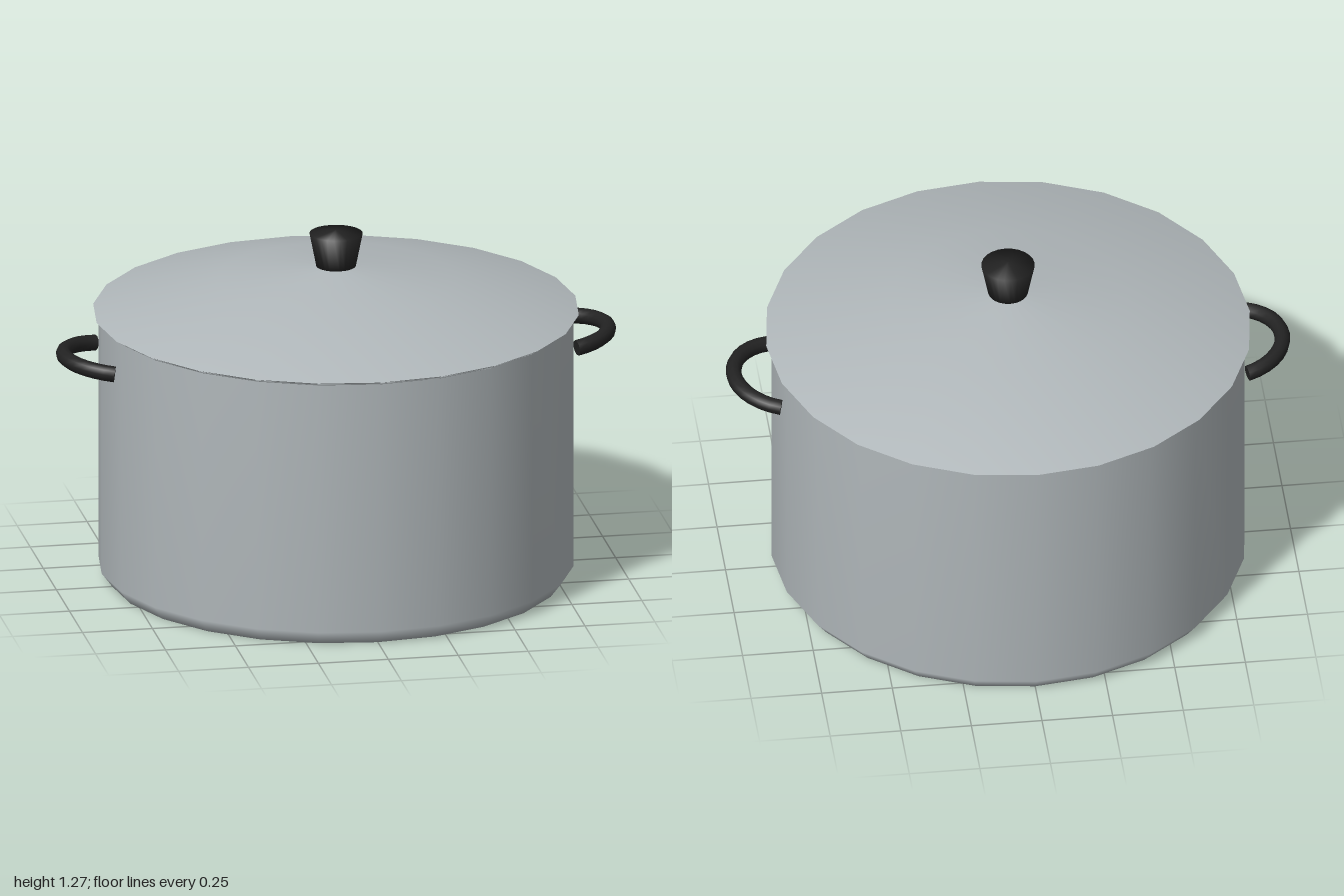
import * as THREE from 'three';
import { mergeGeometries } from 'three/addons/utils/BufferGeometryUtils.js';

const steel = new THREE.MeshStandardMaterial({ color: 0xb0b7ba });
steel.name = 'brushed steel';
const black = new THREE.MeshStandardMaterial({ color: 0x222222 });
black.name = 'black plastic';

// Turned part from a list of [radius, height] points, bottom to top
function turned(name, points, material, sides = 24) {
  const profile = points.map(([r, y]) => new THREE.Vector2(r, y));
  const mesh = new THREE.Mesh(new THREE.LatheGeometry(profile, sides), material);
  mesh.name = name;
  return mesh;
}

// Bowed grip: a ring segment with capped ends, bulging towards +x
function handleGeometry(radius, thickness, halfAngle) {
  const ring = new THREE.TorusGeometry(radius, thickness, 10, 14, halfAngle * 2).rotateZ(-halfAngle);
  const caps = [1, -1].map((s) =>
    new THREE.CircleGeometry(thickness, 10)
      .rotateX(-s * Math.PI / 2)
      .translate(radius, 0, 0)
      .rotateZ(s * halfAngle));
  return mergeGeometries([ring, ...caps]).rotateX(Math.PI / 2);
}

export function createModel() {
  const model = new THREE.Group();
  model.name = 'cookingPot';

  // Body with a chamfered base
  model.add(turned('potBody', [[0, 0], [0.8, 0], [0.838, 0.05], [0.838, 0.966]], steel));

  // Shallow domed lid with a folded rim
  model.add(turned('lid', [[0.836, 0.962], [0.856, 0.976], [0.42, 1.09], [0, 1.136]], steel));

  // Flared knob
  model.add(turned('lidKnob', [[0, 1.134], [0.07, 1.138], [0.094, 1.258], [0, 1.27]], black));

  // Side handles, tilted slightly upwards
  const grip = handleGeometry(0.192, 0.028, THREE.MathUtils.degToRad(76));
  grip.translate(0.78, 0, 0);
  for (const [name, turn] of [['leftHandle', 0], ['rightHandle', Math.PI]]) {
    const side = new THREE.Group();
    side.name = name;
    const mesh = new THREE.Mesh(grip, black);
    mesh.name = name + 'Grip';
    mesh.rotation.z = 0.117;
    mesh.position.set(0.005, 0.747, 0);
    side.rotation.y = turn;
    side.add(mesh);
    model.add(side);
  }
  return model;
}
